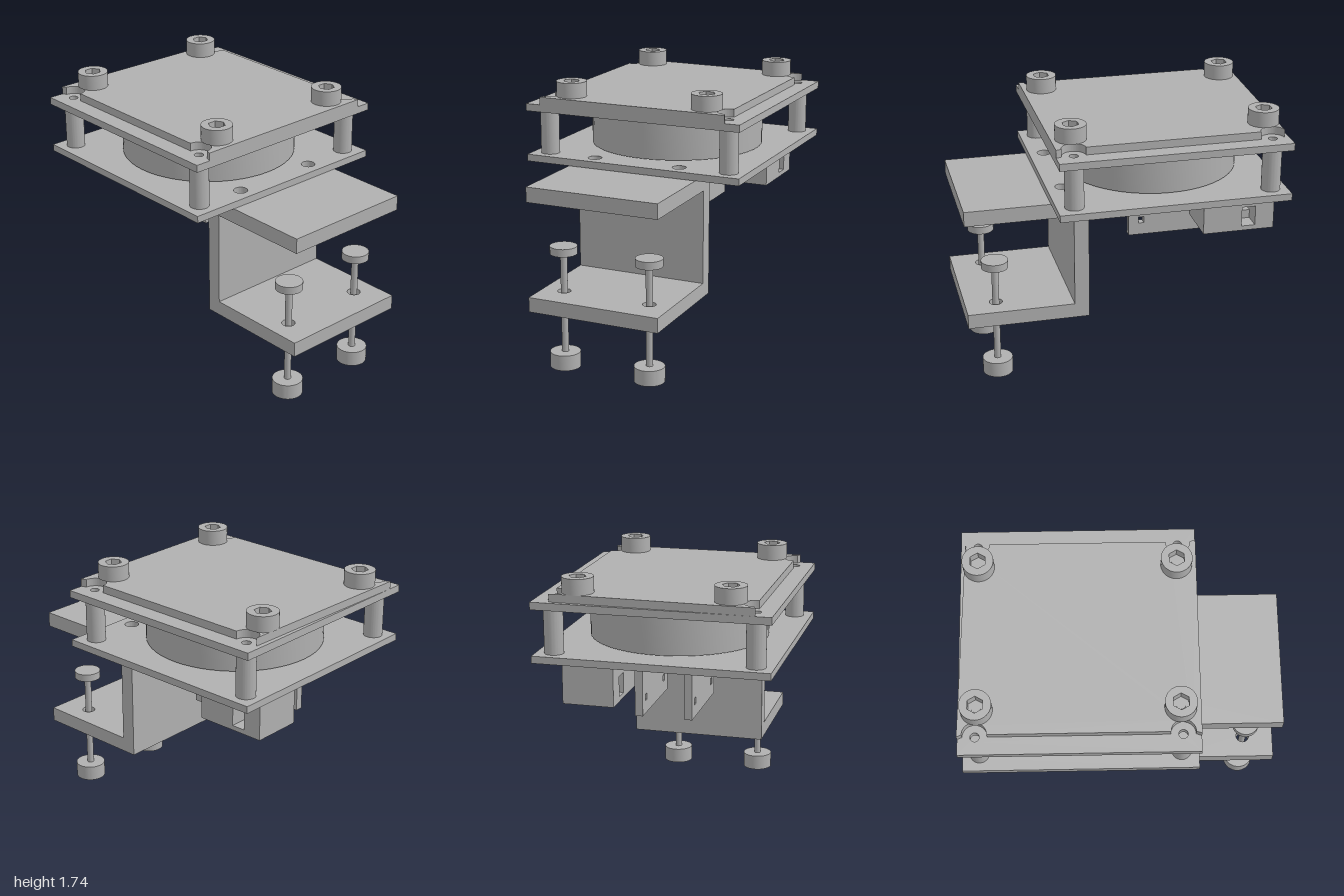
import * as THREE from 'three';
import { toCreasedNormals } from 'three/addons/utils/BufferGeometryUtils.js';

const grey = new THREE.MeshStandardMaterial({ color: 0xb0b0b0 });
grey.name = 'grey';

const rect = (x0, y0, x1, y1, Type = THREE.Shape) => {
  const s = new Type();
  s.moveTo(x0, y0); s.lineTo(x1, y0); s.lineTo(x1, y1); s.lineTo(x0, y1); s.closePath();
  return s;
};
const circle = (x, y, r, Type = THREE.Path) => {
  const s = new Type();
  s.absarc(x, y, r, 0, Math.PI * 2, true);
  return s;
};
const hexagon = (x, y, r) => {
  const pts = [];
  for (let i = 0; i < 6; i++) {
    const a = Math.PI / 2 + i * Math.PI / 3;
    pts.push(new THREE.Vector2(x + r * Math.cos(a), y + r * Math.sin(a)));
  }
  return new THREE.Path(pts);
};

export function createModel() {
  const model = new THREE.Group();
  model.name = 'clampMount';

  const add = (name, geo) => {
    const m = new THREE.Mesh(geo, grey);
    m.name = name;
    model.add(m);
    return m;
  };
  const extrude = (shape, depth) => toCreasedNormals(
    new THREE.ExtrudeGeometry(shape, { depth, bevelEnabled: false, curveSegments: 28 }), 0.6);
  // horizontal slab: shape coordinates are (x, z), raised from y0 to y1
  const slab = (name, shape, holes, y0, y1) => {
    shape.holes.push(...holes);
    return add(name, extrude(shape, y1 - y0).rotateX(Math.PI / 2).translate(0, y1, 0));
  };
  // upright slab: shape coordinates are (x, y), running from z0 to z1
  const wall = (name, shape, holes, z0, z1) => {
    shape.holes.push(...holes);
    return add(name, extrude(shape, z1 - z0).translate(0, 0, z0));
  };
  const box = (name, x0, x1, y0, y1, z0, z1) => add(name,
    new THREE.BoxGeometry(x1 - x0, y1 - y0, z1 - z0)
      .translate((x0 + x1) / 2, (y0 + y1) / 2, (z0 + z1) / 2));
  const cylinder = (name, x, z, r, y0, y1) => add(name,
    new THREE.CylinderGeometry(r, r, y1 - y0, 40).translate(x, (y0 + y1) / 2, z));

  const postX = [-0.895, 0.35], postZ = 0.62, boltZ = 0.465;
  const clampX = 0.8, clampZ = 0.293, slotX = 0.36;
  const corners = [];
  for (const x of postX) for (const z of [-postZ, postZ]) corners.push([x, z]);
  const cornerHoles = () => corners.map(([x, z]) => circle(x, z, 0.028));
  const plate = () => rect(-1, -0.73, 0.46, 0.73);
  const mountHoles = () => [-clampZ, clampZ].map(z => circle(slotX, z, 0.044));

  // lower and upper square plates
  slab('lowerPlate', plate(),
    [...cornerHoles(), ...mountHoles(), rect(-0.4, -0.52, -0.13, -0.2, THREE.Path)], 1.21, 1.255);
  slab('upperPlate', plate(), cornerHoles(), 1.54, 1.587);

  // raised cover with a rounded notch around each corner hole
  const cover = new THREE.Shape();
  const edge = 0.632, nr = 0.075;
  cover.moveTo(-1, -edge);
  for (const x of postX) cover.absarc(x, -edge + 0.012, nr, Math.PI, 0, true);
  cover.lineTo(0.46, -edge);
  cover.lineTo(0.46, edge);
  for (const x of [...postX].reverse()) cover.absarc(x, edge - 0.012, nr, 0, Math.PI, true);
  cover.lineTo(-1, edge);
  cover.closePath();
  slab('cover', cover, [], 1.587, 1.637);

  // hollow spacer posts
  for (const [x, z] of corners) {
    slab('spacerPost', circle(x, z, 0.06, THREE.Shape), [circle(x, z, 0.028)], 1.255, 1.54);
  }

  // drum between the plates
  slab('drum', circle(-0.27, 0, 0.563, THREE.Shape),
    [rect(-0.4, -0.49, -0.13, -0.2, THREE.Path)], 1.265, 1.53);

  // cap bolts with hexagonal sockets
  for (const x of [-0.883, 0.337]) for (const z of [-boltZ, boltZ]) {
    slab('boltHead', circle(x, z, 0.097, THREE.Shape), [hexagon(x, z, 0.053)], 1.637, 1.735);
    cylinder('boltSocketFloor', x, z, 0.06, 1.637, 1.67);
    cylinder('boltSocketCentre', x, z, 0.029, 1.66, 1.675);
  }

  // C-shaped clamp bracket
  const zb = -0.44, zf = 0.435;
  slab('bracketTopArm', rect(0.315, zb, 1, zf), mountHoles(), 1.11, 1.207);
  box('bracketWeb', 0.22, 0.315, 0.405, 1.207, zb, zf);
  slab('bracketBottomArm', rect(0.315, zb, 1, zf),
    [-clampZ, clampZ].map(z => circle(clampX, z, 0.042)), 0.405, 0.5);

  // clamp screws: socketed knob below, shaft, pressure pad on top
  for (const z of [-clampZ, clampZ]) {
    slab('clampKnob', circle(clampX, z, 0.097, THREE.Shape), [hexagon(clampX, z, 0.053)], 0, 0.1);
    cylinder('clampKnobSocketFloor', clampX, z, 0.06, 0.062, 0.1);
    cylinder('clampShaft', clampX, z, 0.022, 0.1, 0.75);
    cylinder('clampPad', clampX, z, 0.086, 0.747, 0.797);
  }

  // pair of hanging mounting tabs with flanged feet
  for (const s of [-1, 1]) {
    const c = s * 0.157;
    box('tabFlange', -0.74, -0.04, 1.165, 1.21, c - 0.032, c + 0.032);
    wall('mountingTab', rect(-0.68, 0.82, -0.1, 1.165),
      [-0.6, -0.183].map(x => rect(x - 0.018, 0.9, x + 0.018, 0.942, THREE.Path)),
      c - 0.025, c + 0.025);
  }

  // small housing with a window through it and an inner ledge
  wall('housing', rect(-0.95, 0.955, -0.49, 1.21),
    [rect(-0.828, 0.985, -0.74, 1.113, THREE.Path)], -0.555, -0.235);
  box('housingLedge', -0.828, -0.74, 0.985, 1.04, -0.44, -0.3);

  return model;
}
